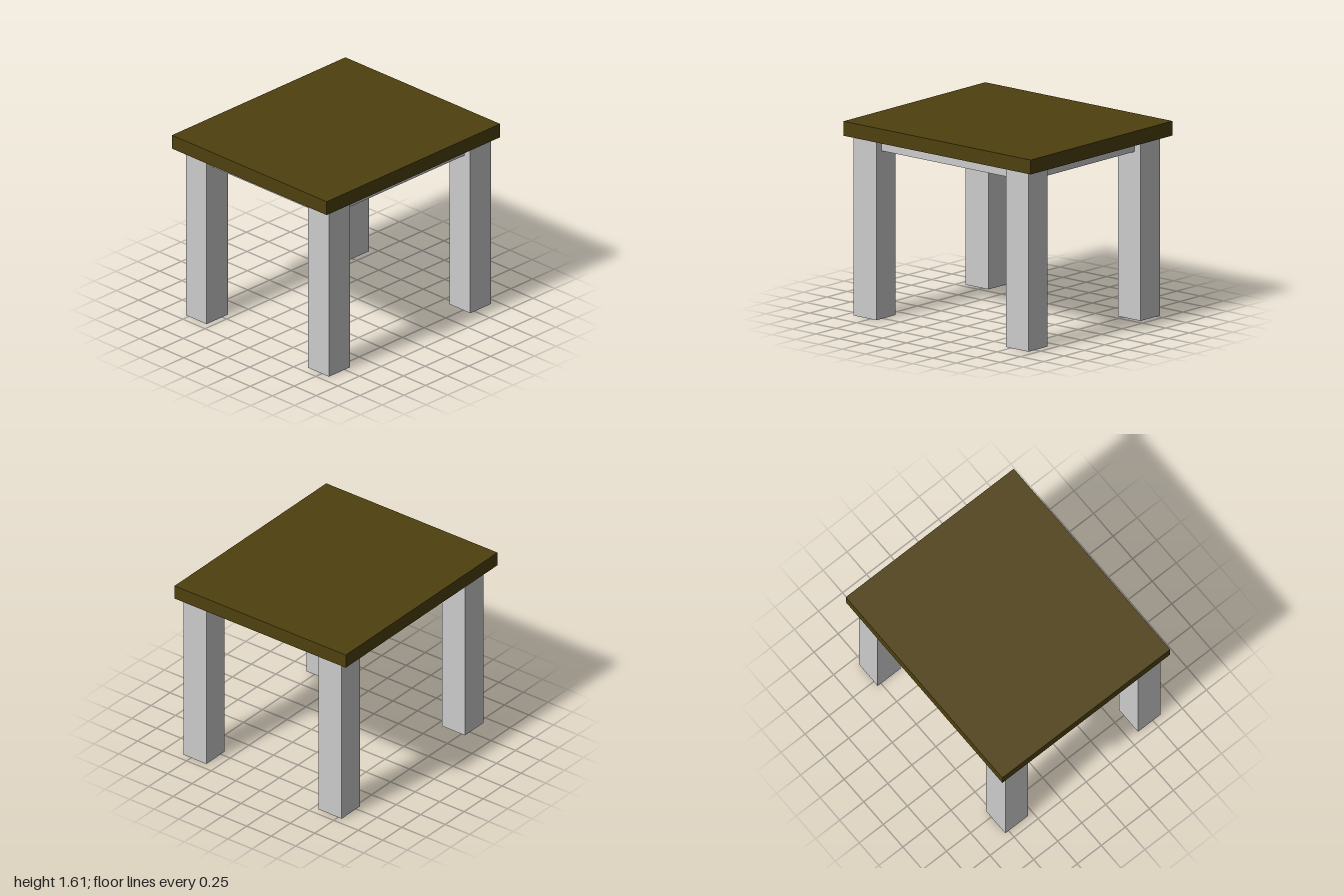
import * as THREE from 'three';

export function createModel() {
  const model = new THREE.Group();
  model.name = 'table';
  const wood = new THREE.MeshStandardMaterial({ color: 0x4e400e });
  const grey = new THREE.MeshStandardMaterial({ color: 0xcccccc });

  // Box given by its extents along each axis
  function box(name, [x0, x1], [y0, y1], [z0, z1], material) {
    const mesh = new THREE.Mesh(new THREE.BoxGeometry(x1 - x0, y1 - y0, z1 - z0), material);
    mesh.position.set((x0 + x1) / 2, (y0 + y1) / 2, (z0 + z1) / 2);
    mesh.name = name;
    model.add(mesh);
  }

  const topBase = 1.49;
  box('tableTop', [-0.873, 0.873], [topBase, 1.61], [-1, 1], wood);

  // Solid panel under the top, set back from the outer leg faces
  box('underPanel', [-0.765, 0.765], [1.395, topBase], [-0.873, 0.873], grey);

  // Four square legs, slightly off centre
  const legX = { right: [-0.785, -0.55], left: [0.595, 0.83] };
  const legZ = { front: [0.685, 0.93], back: [-0.94, -0.70] };
  for (const [end, z] of Object.entries(legZ)) {
    for (const [side, x] of Object.entries(legX)) {
      box(`${end} ${side} leg`, x, [0, topBase], z, grey);
    }
  }
  return model;
}
